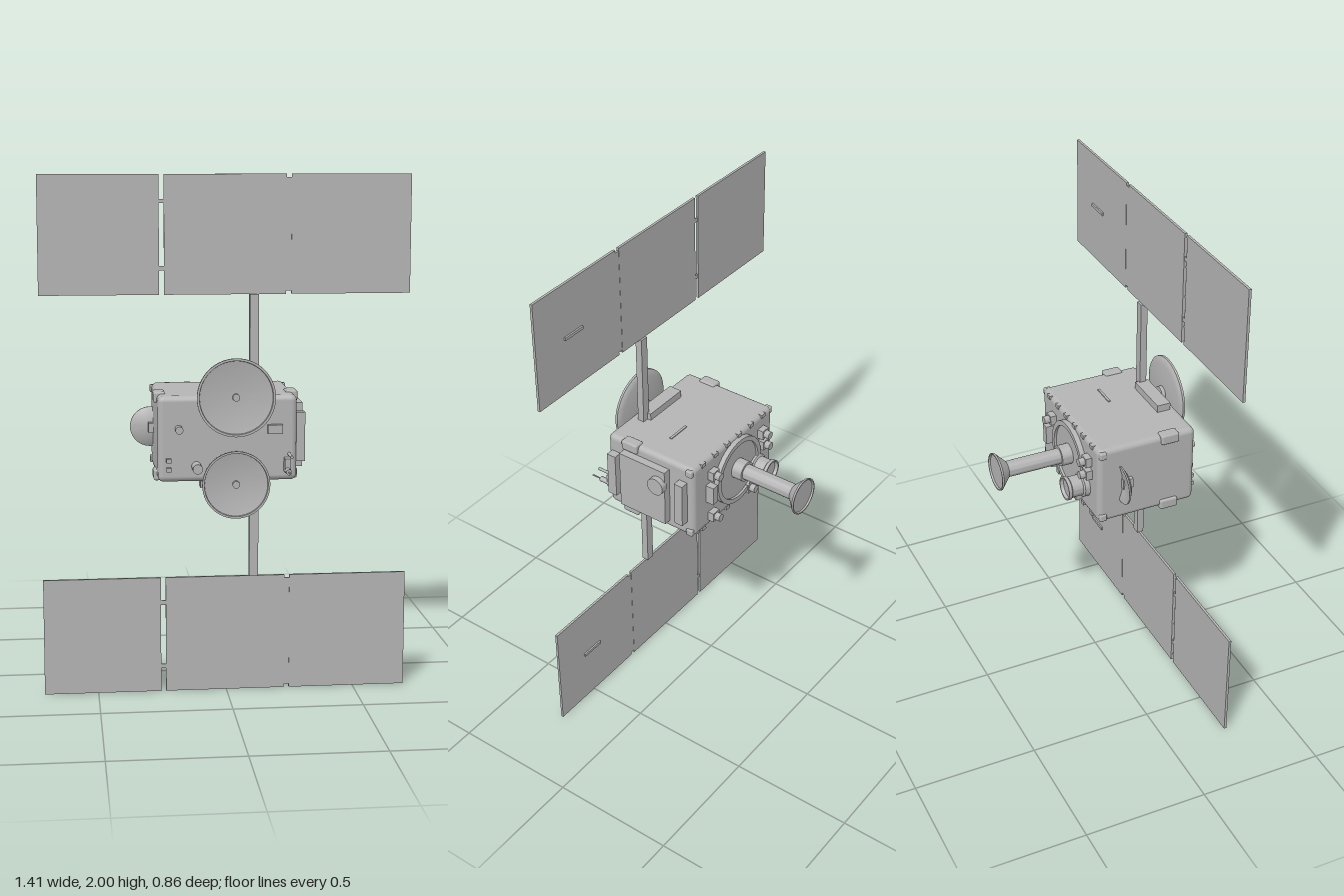
import * as THREE from 'three';
import { RoundedBoxGeometry } from 'three/addons/geometries/RoundedBoxGeometry.js';
import { toCreasedNormals } from 'three/addons/utils/BufferGeometryUtils.js';

export function createModel() {
  const model = new THREE.Group();
  model.name = 'satellite';
  const grey = new THREE.MeshStandardMaterial({ color: 0xb4b4b4 });
  grey.name = 'satellite grey';

  function add(name, geometry, x = 0, y = 0, z = 0) {
    const mesh = new THREE.Mesh(geometry, grey);
    mesh.name = name;
    mesh.position.set(x, y, z);
    model.add(mesh);
    return mesh;
  }
  // Box given by its limits on each axis
  function box(name, x0, x1, y0, y1, z0, z1) {
    return add(name, new THREE.BoxGeometry(x1 - x0, y1 - y0, z1 - z0),
      (x0 + x1) / 2, (y0 + y1) / 2, (z0 + z1) / 2);
  }
  // Round part along z from [radius, z] points, listed from back (-z) to front (+z)
  function turned(name, x, y, points, segments = 40) {
    const profile = points.map(([r, z]) => new THREE.Vector2(r, z));
    const geometry = toCreasedNormals(new THREE.LatheGeometry(profile, segments), 0.6);
    geometry.rotateX(Math.PI / 2);
    return add(name, geometry, x, y, 0);
  }
  function cylinder(name, x, y, r, z0, z1) {
    return turned(name, x, y, [[0, z0], [r, z0], [r, z1], [0, z1]], 28);
  }

  // Main body
  add('body', new RoundedBoxGeometry(0.532, 0.33, 0.415, 3, 0.022), 0, 1.005, 0.098);

  // Corner brackets wrapped round the four long edges
  for (const sx of [-1, 1]) for (const sy of [-1, 1]) {
    add('cornerBracket', new RoundedBoxGeometry(0.046, 0.042, 0.075, 2, 0.008),
      sx * 0.255, 1.005 + sy * 0.151, 0.193);
    add('cornerFoot', new RoundedBoxGeometry(0.03, 0.03, 0.03, 2, 0.006),
      sx * 0.258, 1.005 + sy * 0.143, -0.09);
  }

  // Solar wings: upper and lower are alike
  for (const [y0, y1] of [[0, 0.455], [1.55, 2]]) {
    box('outerPanel', -0.708, -0.255, y0, y1, 0.246, 0.256);
    box('middlePanel', -0.236, 0.227, y0, y1, 0.246, 0.256);
    box('innerPanel', 0.247, 0.704, y0, y1, 0.246, 0.256);
    box('panelJoint', 0.227, 0.247, y0 + 0.012, y1 - 0.012, 0.247, 0.255);
    const middle = (y0 + y1) / 2;
    box('panelRail', 0.45, 0.55, middle, middle + 0.012, 0.239, 0.246);
    for (const y of [y0 + 0.1, y1 - 0.1]) {
      box('panelHinge', -0.256, -0.235, y - 0.008, y + 0.008, 0.248, 0.254);
    }
  }

  // Wing masts and their mounts on the top and bottom of the body
  box('upperMast', 0.088, 0.123, 1.16, 1.55, 0.238, 0.266);
  box('lowerMast', 0.088, 0.123, 0.455, 0.85, 0.238, 0.266);
  box('upperMount', -0.102, 0.098, 1.165, 1.2, 0.222, 0.278);
  box('lowerMount', -0.102, 0.098, 0.81, 0.845, 0.222, 0.278);
  box('upperLabelPlate', 0.05, 0.15, 1.168, 1.174, 0.08, 0.09);
  box('lowerLabelPlate', 0.05, 0.15, 0.836, 0.842, 0.08, 0.09);

  // Front dishes: shallow bowls with a raised rim and a small hub
  function frontDish(name, x, y, r) {
    turned(name, x, y, [
      [0, 0.309], [r * 0.4, 0.311], [r * 0.8, 0.317], [r * 0.97, 0.322], [r, 0.326], [r, 0.335],
      [r * 0.94, 0.335], [r * 0.93, 0.328], [r * 0.7, 0.322], [r * 0.35, 0.317], [0, 0.315],
    ], 56);
    cylinder(name + 'Hub', x, y, 0.014, 0.312, 0.33);
    cylinder(name + 'Support', x, y, 0.03, 0.295, 0.312);
  }
  frontDish('upperDish', 0.03, 1.165, 0.15);
  frontDish('lowerDish', 0.03, 0.83, 0.13);

  // Small instruments on the front
  cylinder('frontSensor', -0.187, 1.045, 0.015, 0.3, 0.34);
  cylinder('frontCamera', -0.12, 0.9, 0.019, 0.3, 0.37);
  box('frontBox', 0.152, 0.208, 1.023, 1.058, 0.3, 0.325);
  for (const y of [0.89, 0.925]) {
    box('frontStud', -0.235, -0.217, y - 0.008, y + 0.008, 0.3, 0.322);
  }
  box('probeBox', 0.215, 0.238, 0.876, 0.93, 0.3, 0.345);
  cylinder('probeTube', 0.225, 0.885, 0.011, 0.3, 0.385);
  cylinder('probeRod', 0.225, 0.885, 0.003, 0.38, 0.428);
  cylinder('upperProbe', 0.235, 0.943, 0.006, 0.3, 0.385);

  // Equipment on the +x side
  box('sidePlate', 0.26, 0.298, 0.878, 1.128, 0.005, 0.225);
  box('frontSideSlat', 0.26, 0.3, 0.91, 1.1, 0.245, 0.285);
  box('rearSideSlat', 0.26, 0.3, 0.91, 1.1, -0.08, -0.042);
  const sideLens = cylinder('sideLens', 0, 0, 0.037, 0, 0.03);
  sideLens.rotation.y = Math.PI / 2;
  sideLens.position.set(0.29, 1.062, 0.036);

  // Dish on the -x side, opening to the back
  turned('sideDish', -0.277, 1.005, [
    [0, -0.006], [0.04, -0.01], [0.074, -0.02], [0.079, -0.02], [0.079, -0.014], [0.055, 0.001], [0, 0.004],
  ]);
  box('sideDishMount', -0.285, -0.255, 0.985, 1.025, -0.012, 0.03);

  // Long horn on the back, with its collar and flange
  turned('rearFlange', -0.015, 1.01, [
    [0, -0.12], [0.125, -0.12], [0.125, -0.13], [0.145, -0.13], [0.145, -0.1], [0, -0.1],
  ], 48);
  cylinder('hornCollar', -0.013, 1.02, 0.042, -0.165, -0.11);
  cylinder('hornTube', -0.013, 1.02, 0.032, -0.392, -0.15);
  turned('hornCone', -0.013, 1.02, [
    [0, -0.426], [0.068, -0.426], [0.07, -0.433], [0.075, -0.433], [0.075, -0.426], [0.034, -0.387], [0, -0.387],
  ]);

  // Engine and small thrusters on the back
  turned('rearEngine', -0.143, 0.955, [
    [0, -0.185], [0.038, -0.185], [0.042, -0.198], [0.048, -0.198], [0.048, -0.185],
    [0.042, -0.18], [0.042, -0.135], [0.05, -0.13], [0.05, -0.1], [0, -0.1],
  ]);
  for (const [x, y] of [[-0.185, 1.09], [-0.19, 1.035], [0.15, 1.09], [0.15, 0.89], [-0.09, 0.88]]) {
    box('thrusterBase', x - 0.02, x + 0.02, y - 0.02, y + 0.02, -0.135, -0.1);
    cylinder('thruster', x, y, 0.016, -0.158, -0.12);
  }
  box('rearUnit', 0.155, 0.185, 0.97, 1.05, -0.145, -0.1);

  // Clips along the rear edges
  for (let i = 0; i < 6; i++) {
    const x = -0.2 + i * 0.08;
    for (const y of [1.16, 0.85]) {
      box('edgeClip', x - 0.012, x + 0.012, y - 0.008, y + 0.008, -0.113, -0.095);
    }
  }
  return model;
}
